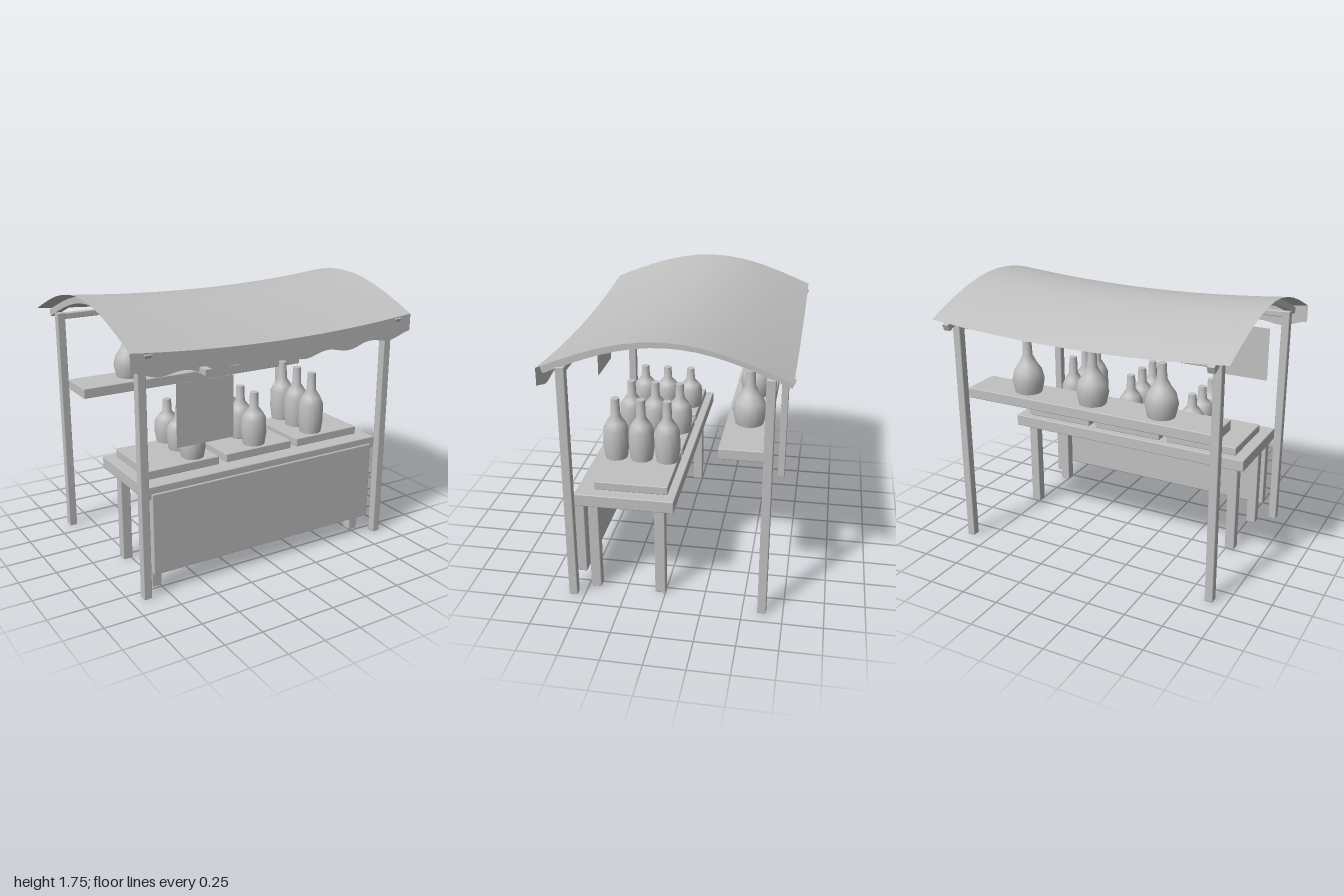
import * as THREE from 'three';
import { RoundedBoxGeometry } from 'three/addons/geometries/RoundedBoxGeometry.js';

const EAVE = 0.714, MID_Z = -0.031;            // roof half depth and centre
const sag = x => 0.05 * x * x;                 // roof ends curl upward
const arch = u => 0.19 * Math.cos(u * Math.PI / 2);

export function createModel() {
  const root = new THREE.Group();
  const grey = new THREE.MeshStandardMaterial({ color: 0xc0c0c0 });
  grey.name = 'plain grey';
  const greySheet = grey;
  greySheet.side = THREE.DoubleSide;

  const add = (name, geometry, x = 0, y = 0, z = 0) => {
    const mesh = new THREE.Mesh(geometry, grey);
    mesh.name = name;
    mesh.position.set(x, y, z);
    root.add(mesh);
    return mesh;
  };
  // softly bevelled box given by its limits
  const box = (name, x0, x1, y0, y1, z0, z1, bevel = 0.006) =>
    add(name, new RoundedBoxGeometry(x1 - x0, y1 - y0, z1 - z0, 1, bevel),
      (x0 + x1) / 2, (y0 + y1) / 2, (z0 + z1) / 2);

  // posts, table legs
  for (const s of [-1, 1]) {
    const px = s * 0.893, lx = s * 0.775;
    box('frontPost', px - 0.027, px + 0.027, 0, 1.54, 0.545, 0.6);
    box('backPost', px - 0.027, px + 0.027, 0, 1.54, -0.648, -0.594);
    box('frontLeg', lx - 0.033, lx + 0.033, 0, 0.63, 0.418, 0.484);
    box('backLeg', lx - 0.033, lx + 0.033, 0, 0.63, 0, 0.066);
  }

  // cross beams, table, front panel, shelf
  box('frontBeam', -0.89, 0.89, 1.495, 1.535, 0.552, 0.592);
  box('backBeam', -0.89, 0.89, 1.495, 1.535, -0.641, -0.601);
  box('tableTop', -0.868, 0.868, 0.62, 0.7, -0.066, 0.55);
  box('frontPanel', -0.83, 0.83, 0.125, 0.655, 0.5, 0.562);
  box('shelf', -0.868, 0.868, 1.012, 1.08, -0.6, -0.328);

  // trays with bottles, a different bottle height on each
  const bottle = h => new THREE.LatheGeometry([
    [0, 0], [0.07, 0], [0.072, 0.002], [0.083, 0.22 * h], [0.081, 0.49 * h],
    [0.06, 0.6 * h], [0.031, 0.71 * h], [0.027, h - 0.002], [0.026, h], [0, h],
  ].map(p => new THREE.Vector2(...p)), 16);
  [[-0.548, -0.455, 0.285], [0, -0.003, 0.345], [0.543, 0.45, 0.406]].forEach(([tx, bx, h]) => {
    box('tray', tx - 0.247, tx + 0.247, 0.7, 0.755, -0.017, 0.443);
    for (const z of [0.378, 0.214, 0.046]) add('bottle', bottle(h), bx, 0.766, z);
  });

  // round jugs on the shelf
  const jug = new THREE.LatheGeometry([
    [0, 0], [0.083, 0], [0.087, 0.002], [0.105, 0.085], [0.09, 0.148],
    [0.058, 0.195], [0.032, 0.245], [0.028, 0.338], [0.027, 0.34], [0, 0.34],
  ].map(p => new THREE.Vector2(...p)), 16);
  for (const x of [-0.475, 0, 0.475]) add('jug', jug, x, 1.08, -0.47);

  // canopy sheet, arched front to back and sagging in the middle
  const canopy = new THREE.PlaneGeometry(2, 2, 24, 12).rotateX(-Math.PI / 2);
  const cp = canopy.attributes.position;
  for (let i = 0; i < cp.count; i++) {
    const x = cp.getX(i), u = cp.getZ(i);
    cp.setXYZ(i, x, 1.51 + sag(x) + arch(u), MID_Z + u * EAVE);
  }
  canopy.computeVertexNormals();
  add('canopy', canopy);

  // wavy valance along the front edge
  const valance = new THREE.PlaneGeometry(2, 1, 60, 1);
  const vp = valance.attributes.position;
  for (let i = 0; i < vp.count; i++) {
    const x = vp.getX(i), top = 1.51 + sag(x);
    vp.setY(i, vp.getY(i) > 0 ? top : top - 0.125 + 0.015 * Math.cos(6 * Math.PI * x));
  }
  add('valance', valance, 0, 0, MID_Z + EAVE);

  // curved rafters under the canopy
  const outer = [], inner = [];
  for (let i = 0; i <= 16; i++) {
    const u = -1 + i / 8;
    outer.push(new THREE.Vector2(MID_Z + u * 0.722, 1.54 + arch(u)));
    inner.unshift(new THREE.Vector2(MID_Z + u * 0.704, 1.5 + arch(u)));
  }
  const rafter = new THREE.ExtrudeGeometry(new THREE.Shape([...outer, ...inner]),
    { depth: 0.044, bevelEnabled: false });
  rafter.translate(0, 0, -0.022).rotateY(-Math.PI / 2);
  for (const s of [-1, 1]) add('rafter', rafter, s * 0.893, -0.003, 0);

  // hanging board on its arm
  box('boardArm', -0.573, -0.53, 1.389, 1.426, 0.545, 0.75, 0.002);
  add('board', new THREE.PlaneGeometry(0.375, 0.38), -0.552, 1.17, 0.71);

  return root;
}
